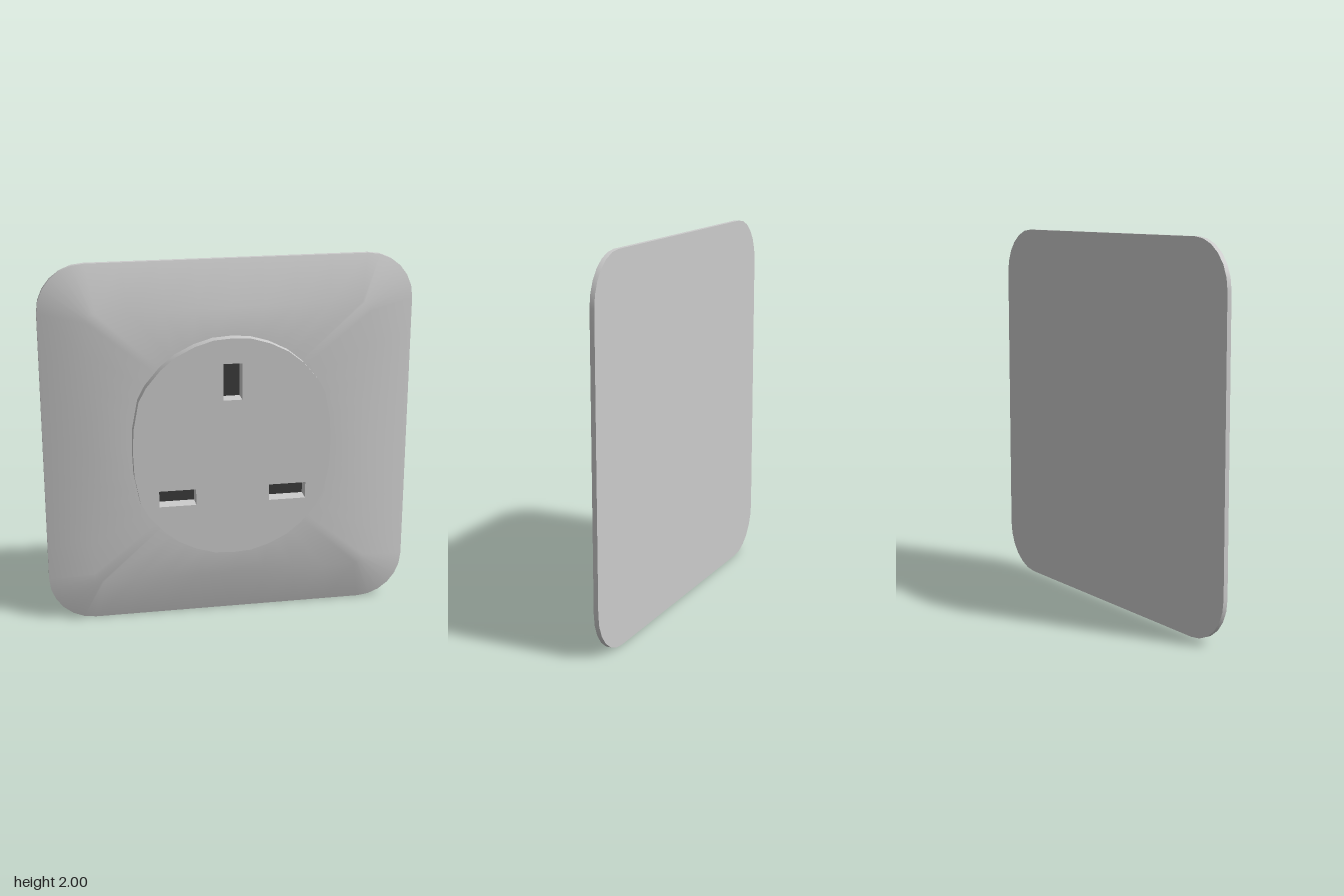
import * as THREE from 'three';
import { toCreasedNormals } from 'three/addons/utils/BufferGeometryUtils.js';

const grey = new THREE.MeshStandardMaterial({ color: 0xcccccc });
const dark = new THREE.MeshStandardMaterial({ color: 0x3a3a3a });

// Counter-clockwise rounded square: arc points per corner, then points along each side
function roundedSquare(half, radius, z, arc = 6, side = 8) {
  const points = [];
  const c = half - radius;
  for (let k = 0; k < 4; k++) {
    const turn = k * Math.PI / 2;
    const add = (x, y) => points.push(new THREE.Vector3(x, y, z).applyAxisAngle(new THREE.Vector3(0, 0, 1), turn));
    for (let i = 0; i <= arc; i++) {
      const a = i / arc * Math.PI / 2;
      add(c + radius * Math.cos(a), c + radius * Math.sin(a));
    }
    for (let i = 1; i < side; i++) add(c - 2 * c * i / side, half);
  }
  return points;
}

// Skin between closed rings of equal point count
function loft(rings) {
  const n = rings[0].length, index = [];
  for (let r = 0; r < rings.length - 1; r++) {
    for (let i = 0; i < n; i++) {
      const a = r * n + i, b = r * n + (i + 1) % n;
      index.push(a, b, b + n, a, b + n, a + n);
    }
  }
  const geometry = new THREE.BufferGeometry().setFromPoints(rings.flat());
  geometry.setIndex(index);
  geometry.computeVertexNormals();
  return geometry;
}

export function createModel() {
  const model = new THREE.Group();
  const body = new THREE.Group();
  body.position.y = 1;
  model.add(body);
  const add = (name, geometry, material = grey) => {
    const mesh = new THREE.Mesh(geometry, material);
    mesh.name = name;
    body.add(mesh);
    return mesh;
  };

  // Sloped face plate, open beneath the raised socket
  const outer = roundedSquare(1, 0.25, -0.055);
  const shoulder = roundedSquare(0.755, 0.05, 0.02);
  const opening = shoulder.map(p => {
    const a = Math.atan2(p.y, p.x);
    return new THREE.Vector3(0.525 * Math.cos(a), 0.59 * Math.sin(a), 0.025);
  });
  add('facePlate', loft([outer, shoulder, opening]));

  // Thin rim and flat back
  const back = roundedSquare(1, 0.25, -0.08);
  add('plateRim', loft([back, outer]));
  const backPanel = add('backPanel', new THREE.ShapeGeometry(
    new THREE.Shape(back.map(p => new THREE.Vector2(p.x, p.y)))));
  backPanel.rotation.y = Math.PI;
  backPanel.position.z = -0.08;

  // Raised socket outline, one quarter mirrored to four
  const quarter = [[0.535, 0], [0.53, 0.13], [0.5, 0.285], [0.46, 0.36], [0.38, 0.455],
    [0.3, 0.52], [0.2, 0.57], [0.1, 0.6], [0, 0.607]];
  const upper = [...quarter, ...quarter.slice(0, -1).reverse().map(([x, y]) => [-x, y])];
  const outline = [...upper, ...upper.slice(1, -1).map(([x, y]) => [-x, -y])];
  const shape = new THREE.Shape(outline.map(([x, y]) => new THREE.Vector2(x, y)));

  // Pin slots: x, y, width, height
  const slots = [[0, 0.37, 0.1, 0.2], [-0.3, -0.267, 0.2, 0.09], [0.3, -0.267, 0.2, 0.09]];
  for (const [x, y, w, h] of slots) {
    const hole = new THREE.Path();
    hole.moveTo(x - w / 2, y - h / 2);
    hole.lineTo(x - w / 2, y + h / 2);
    hole.lineTo(x + w / 2, y + h / 2);
    hole.lineTo(x + w / 2, y - h / 2);
    hole.closePath();
    shape.holes.push(hole);
    add('slotFloor', new THREE.PlaneGeometry(w, h), dark).position.set(x, y, 0);
  }
  const socket = new THREE.ExtrudeGeometry(shape, { depth: 0.08, bevelEnabled: false });
  add('raisedSocket', toCreasedNormals(socket, 0.5));

  return model;
}
